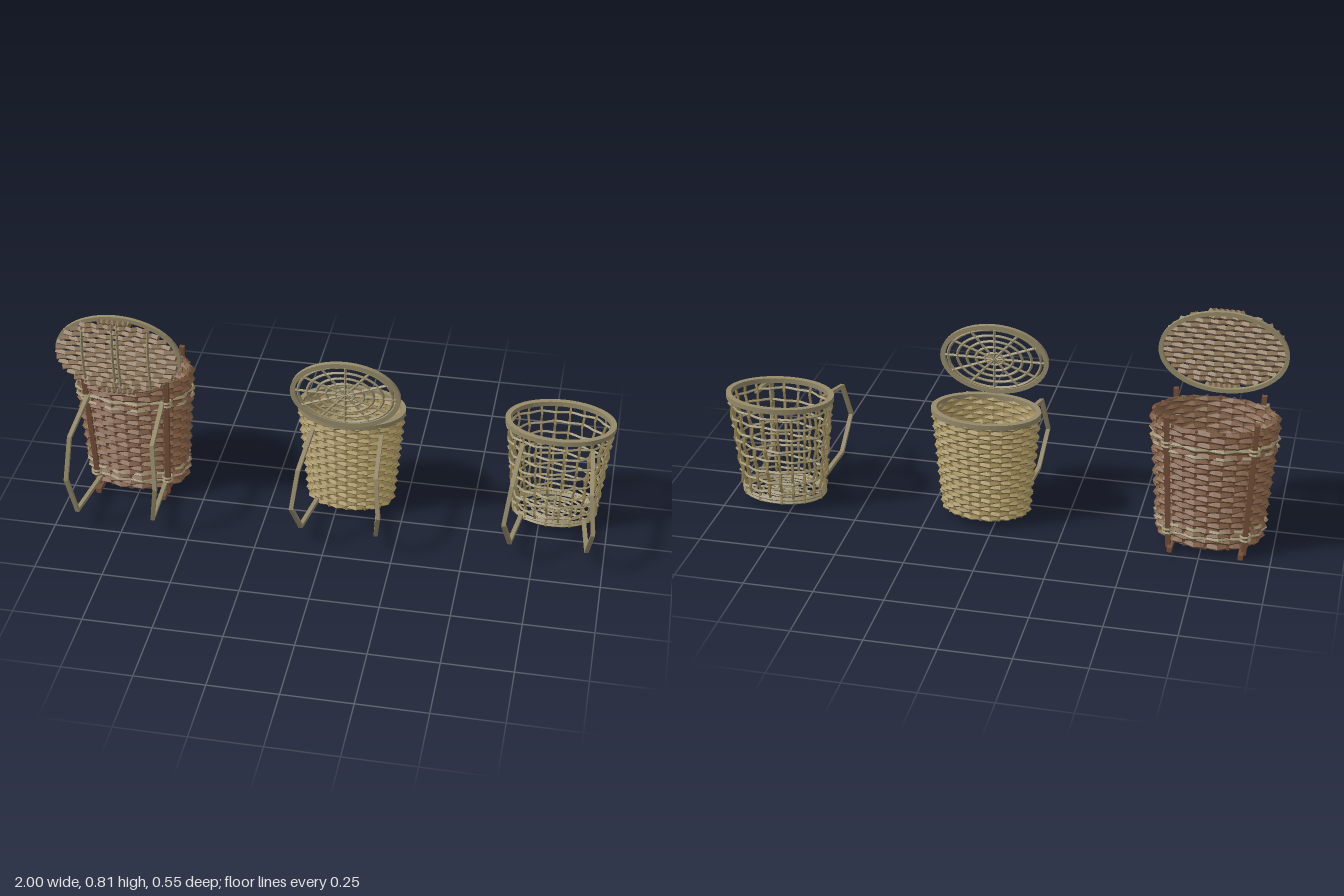
import * as THREE from 'three';
import { mergeGeometries } from 'three/addons/utils/BufferGeometryUtils.js';

const V = (x, y, z) => new THREE.Vector3(x, y, z);
const UP = V(0, 1, 0), SIDE = V(1, 0, 0), FRONT = V(0, 0, 1);
const range = (n, f) => Array.from({ length: n }, (_, i) => f(i));
const lerp = THREE.MathUtils.lerp;

const colour = (name, hex) => {
  const m = new THREE.MeshStandardMaterial({ color: hex, side: THREE.DoubleSide });
  m.name = name;
  return m;
};

// Faceted rod swept through points; ref fixes the roll, square turns flats outward
function strand(pts, r, ref, { closed = false, sides = 4, square = false } = {}) {
  const n = pts.length, pos = [], idx = [];
  pts.forEach((p, i) => {
    const a = closed ? pts[(i + n - 1) % n] : pts[Math.max(i - 1, 0)];
    const b = closed ? pts[(i + 1) % n] : pts[Math.min(i + 1, n - 1)];
    const t = b.clone().sub(a).normalize();
    const u = t.clone().cross(ref).normalize(), v = t.clone().cross(u);
    const rr = square ? r * Math.SQRT2 : r;
    for (let j = 0; j < sides; j++) {
      const ang = (j + (square ? 0.5 : 0)) / sides * Math.PI * 2;
      const q = p.clone().addScaledVector(u, rr * Math.cos(ang)).addScaledVector(v, rr * Math.sin(ang));
      pos.push(q.x, q.y, q.z);
    }
  });
  const at = (i, j) => (i % n) * sides + j % sides;
  for (let i = 0; i < (closed ? n : n - 1); i++)
    for (let j = 0; j < sides; j++)
      idx.push(at(i, j), at(i, j + 1), at(i + 1, j + 1), at(i, j), at(i + 1, j + 1), at(i + 1, j));
  if (!closed)
    for (let j = 1; j < sides - 1; j++)
      idx.push(at(0, 0), at(0, j + 1), at(0, j), at(n - 1, 0), at(n - 1, j), at(n - 1, j + 1));
  const g = new THREE.BufferGeometry();
  g.setAttribute('position', new THREE.Float32BufferAttribute(pos, 3));
  g.setIndex(idx);
  const flat = g.toNonIndexed();
  flat.computeVertexNormals();
  return flat;
}

function add(group, name, material, geometry) {
  const mesh = new THREE.Mesh(Array.isArray(geometry) ? mergeGeometries(geometry) : geometry, material);
  mesh.name = name;
  group.add(mesh);
  return mesh;
}

// Point on a tapered oval wall: angle, height and outward offset
const wall = (b) => (a, y, off = 0) => {
  const r = lerp(b.bottom, b.top, (y - b.y0) / (b.y1 - b.y0));
  return V(b.x + (r + off) * Math.cos(a), y, b.z + (r * b.ratio + off) * Math.sin(a));
};

// Horizontal ring, optionally weaving in and out of n stakes
function ring(at, y, r, { n = 24, amp = 0, phase = 0, off = 0, wob = 0, square = false } = {}) {
  const pts = range(n * 2, (k) => {
    const a = k / (n * 2) * Math.PI * 2;
    return at(a, y + wob * Math.sin(3 * a + y * 90), off + amp * Math.cos(n / 2 * a + phase));
  });
  return strand(pts, r, UP, { closed: true, square });
}

// Concentric ovals with spokes; place(u, v) maps the flat disc into space
function wheel(place, radius, rings, spokes, r, ref) {
  const out = range(rings, (i) => strand(range(40, (k) => {
    const a = k / 40 * Math.PI * 2, R = radius * (i + 1) / (rings + 0.5);
    return place(R * Math.cos(a), R * Math.sin(a));
  }), r, ref, { closed: true }));
  for (let i = 0; i < spokes; i++) {
    const a = i / spokes * Math.PI * 2;
    out.push(strand([place(0, 0), place(radius * Math.cos(a), radius * Math.sin(a))], r, ref));
  }
  return out;
}

// Pair of angular shoulder straps from a list of [x offset, y, z]
function straps(group, cx, path, material) {
  for (const s of [-1, 1])
    add(group, s > 0 ? 'leftStrap' : 'rightStrap', material,
      strand(path.map(([x, y, z]) => V(cx + s * x, y, z)), 0.0075, SIDE, { square: true }));
}

// Plain lining and floor inside a woven basket
function lining(group, b, material) {
  const h = b.y1 - b.y0;
  const shell = add(group, 'lining', material, new THREE.CylinderGeometry(b.top - 0.006, b.bottom - 0.006, h, 48, 1, true));
  const floor = add(group, 'floor', material, new THREE.CylinderGeometry(b.bottom, b.bottom, 0.01, 48));
  shell.position.set(b.x, b.y0 + h / 2, b.z);
  floor.position.set(b.x, b.y0 + 0.005, b.z);
  shell.scale.z = floor.scale.z = b.ratio;
}

function weave(at, b, rows, n, r, amp) {
  return range(rows, (i) => ring(at, lerp(b.y0 + r, b.y1 - r, i / (rows - 1)), r,
    { n, amp, phase: i * Math.PI, wob: 0.002 }));
}

function stakes(at, b, n, r, amp = 0, waves = 0) {
  return range(n, (k) => strand(range(waves * 2 + 2, (i) => at(k / n * Math.PI * 2,
    lerp(b.y0, b.y1, i / (waves * 2 + 1)), amp * Math.cos((i + k) * Math.PI))), r, SIDE.clone().add(FRONT)));
}

export function createModel() {
  const model = new THREE.Group();
  const cane = colour('pale cane', 0x968b6a);
  const brown = colour('brown wicker', 0x7a583f);
  const brownLining = colour('brown lining', 0x86684c);
  const timber = colour('dark timber', 0x755039);
  const slat = colour('slat wood', 0x8a7256);
  const gold = colour('golden wicker', 0x9c8956);
  const goldLining = colour('golden lining', 0xac9664);

  // Large framed basket
  const A = { x: -0.77, z: -0.105, y0: 0.03, y1: 0.5, bottom: 0.178, top: 0.215, ratio: 0.67 };
  const large = new THREE.Group(), atA = wall(A);
  large.name = 'largeBasket';
  lining(large, A, brownLining);
  add(large, 'weave', brown, weave(atA, A, 22, 28, 0.0115, 0.006));
  add(large, 'stakes', timber, stakes(atA, A, 28, 0.007));
  add(large, 'bands', cane, [0.075, 0.105, 0.4, 0.43].map((y) => ring(atA, y, 0.007, { n: 28, amp: 0.006, off: 0.008 })));
  const posts = [], lashings = [];
  for (const s of [-1, 1]) {
    posts.push(strand([V(A.x + s * 0.125, 0.018, 0.04), V(A.x + s * 0.125, 0.01, -0.1), V(A.x + s * 0.125, 0.018, -0.24)],
      0.009, SIDE, { square: true }));
    for (const f of [-1, 1]) {
      const foot = V(A.x + s * 0.133, 0.015, A.z + f * 0.1), head = V(A.x + s * 0.155, 0.53, A.z + f * 0.117);
      posts.push(strand([foot, head], 0.009, FRONT, { square: true }));
      for (const y of [0.075, 0.09, 0.42, 0.435]) {
        const c = foot.clone().lerp(head, (y - 0.015) / 0.515);
        const g = new THREE.TorusGeometry(0.018, 0.005, 4, 10).rotateX(Math.PI / 2).translate(c.x, c.y, c.z).toNonIndexed();
        g.computeVertexNormals();
        lashings.push(g);
      }
    }
  }
  add(large, 'frame', timber, posts);
  add(large, 'lashings', cane, lashings);
  straps(large, A.x, [[0.14, 0.435, 0.03], [0.152, 0.388, 0.228], [0.165, 0.228, 0.268], [0.142, 0.077, 0.243], [0.125, 0.055, 0]], cane);

  // Large lid: slats across an oval hoop, held by upright ribs
  const lidY = 0.658, lidH = 0.147, lidW = 0.222;
  add(large, 'lidHoop', cane, strand(range(48, (k) => {
    const a = k / 48 * Math.PI * 2;
    return V(A.x + lidW * Math.cos(a), lidY + lidH * Math.sin(a), 0.064);
  }), 0.0075, FRONT, { closed: true, square: true }));
  add(large, 'lidSlats', slat, range(15, (i) => {
    const v = (i - 7) / 7.25, y = lidY + v * lidH, w = lidW * Math.sqrt(1 - v * v);
    return strand(range(13, (k) => V(A.x + w * (k / 6 - 1), y, 0.089 + 0.005 * Math.cos((k + i) * Math.PI))), 0.0105, UP);
  }));
  add(large, 'lidRibs', cane, [-0.12, -0.01, 0.01, 0.12].map((x) => {
    const h = lidH * Math.sqrt(1 - (x / lidW) ** 2);
    return strand(range(9, (k) => V(A.x + x, lidY + h * (k / 4 - 1), 0.09 + 0.015 * Math.sin(k / 8 * Math.PI))), 0.005, SIDE);
  }));
  model.add(large);

  // Closely woven medium basket with a wheel-shaped lid
  const B = { x: 0.045, z: -0.1, y0: 0.03, y1: 0.42, bottom: 0.152, top: 0.187, ratio: 0.655 };
  const medium = new THREE.Group(), atB = wall(B);
  medium.name = 'mediumBasket';
  lining(medium, B, goldLining);
  add(medium, 'weave', gold, weave(atB, B, 21, 28, 0.0095, 0.006));
  add(medium, 'stakes', gold, stakes(atB, B, 28, 0.006));
  add(medium, 'rim', cane, ring(atB, 0.42, 0.0095, { n: 28, square: true, off: 0.002 }));
  straps(medium, B.x, [[0.125, 0.375, 0], [0.14, 0.33, 0.205], [0.157, 0.195, 0.248], [0.138, 0.065, 0.175], [0.115, 0.045, -0.02]], cane);
  const lidPlace = (u, v) => V(B.x + u, 0.562 + v * 0.66, 0.036);
  add(medium, 'lidHoop', cane, strand(range(48, (k) => {
    const a = k / 48 * Math.PI * 2;
    return V(B.x + 0.19 * Math.cos(a), 0.562 + 0.124 * Math.sin(a), 0.036);
  }), 0.0085, FRONT, { closed: true, square: true }));
  add(medium, 'lidWheel', cane, wheel(lidPlace, 0.188, 5, 12, 0.0055, FRONT));
  model.add(medium);

  // Open lattice basket
  const C = { x: 0.8, z: -0.138, y0: 0.03, y1: 0.42, bottom: 0.15, top: 0.19, ratio: 0.67 };
  const open = new THREE.Group(), atC = wall(C);
  open.name = 'openBasket';
  add(open, 'stakes', gold, stakes(atC, C, 22, 0.0055, 0.005, 4));
  add(open, 'hoops', cane, range(8, (i) => ring(atC, 0.07 + i * 0.045, 0.0055, { n: 22, amp: 0.005, phase: i * Math.PI, wob: 0.003 })));
  add(open, 'rim', cane, ring(atC, 0.42, 0.0095, { n: 24, square: true }));
  add(open, 'baseHoop', cane, [0.033, 0.046].map((y) => ring(atC, y, 0.007)));
  add(open, 'floorWheel', cane, wheel((u, v) => V(C.x + u, 0.035, C.z + v * C.ratio), 0.15, 5, 12, 0.005, UP));
  straps(open, C.x, [[0.125, 0.375, -0.04], [0.14, 0.33, 0.163], [0.157, 0.195, 0.206], [0.138, 0.065, 0.133], [0.115, 0.045, -0.06]], cane);
  model.add(open);

  return model;
}
